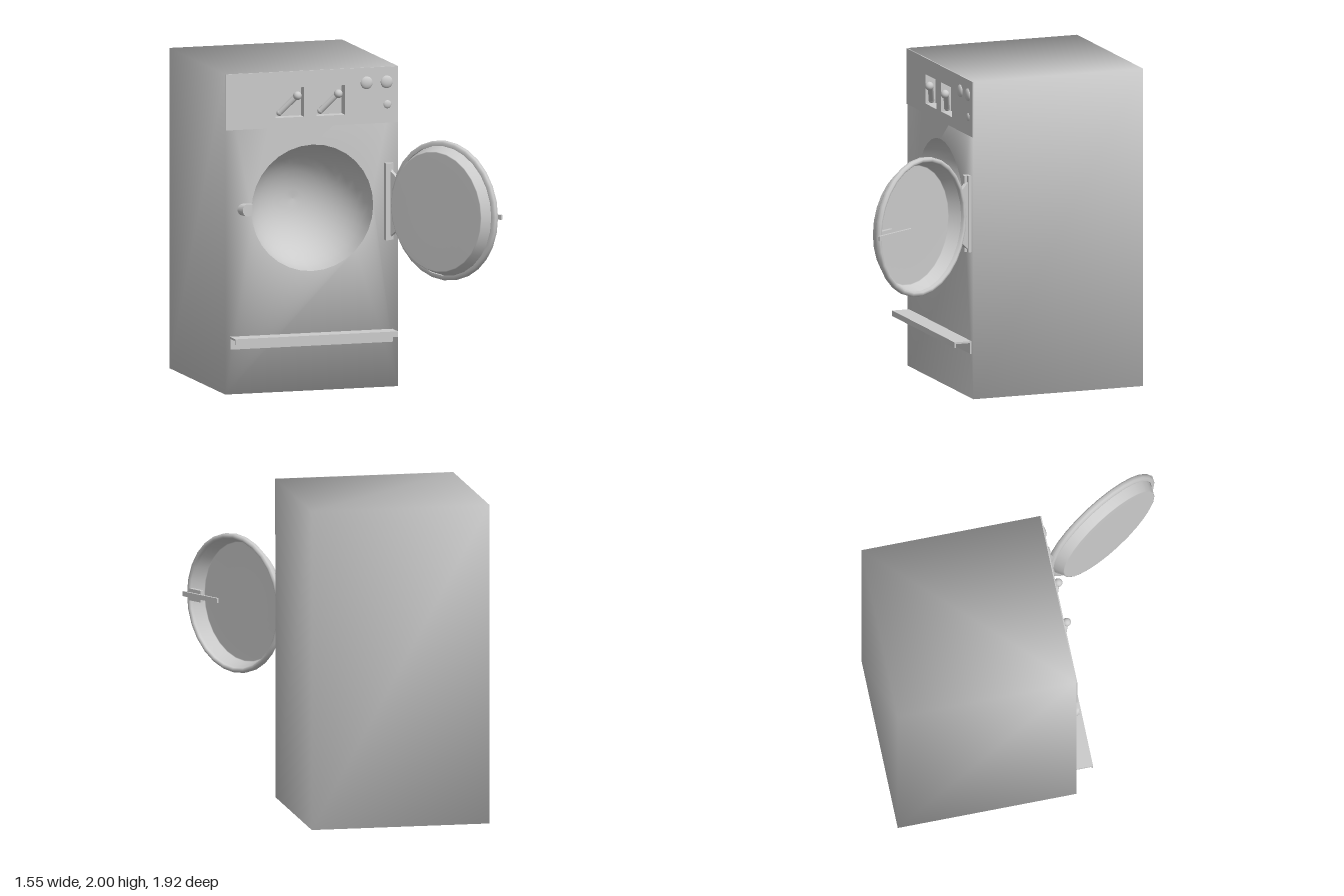
import * as THREE from 'three';
import { mergeGeometries, mergeVertices } from 'three/addons/utils/BufferGeometryUtils.js';

const grey = new THREE.MeshStandardMaterial({ color: 0xcccccc });
const greyDouble = new THREE.MeshStandardMaterial({ color: 0xcccccc, side: THREE.DoubleSide });

const X0 = -0.765, X1 = 0.355, Z0 = -0.965, Z1 = 0.16, H = 2;
const DRUM = { x: -0.2, y: 1.14, r: 0.395 };
const PITS = [-0.3475, -0.0825], PIT_Y = 1.805, PIT = 0.185;

function add(parent, name, geometry, x = 0, y = 0, z = 0, material = grey) {
  const mesh = new THREE.Mesh(geometry, material);
  mesh.name = name;
  mesh.position.set(x, y, z);
  parent.add(mesh);
  return mesh;
}

// Box given by its limits
function block(parent, name, x0, x1, y0, y1, z0, z1) {
  return add(parent, name, new THREE.BoxGeometry(x1 - x0, y1 - y0, z1 - z0),
    (x0 + x1) / 2, (y0 + y1) / 2, (z0 + z1) / 2);
}

function rectangle(x0, x1, y0, y1, Kind = THREE.Shape) {
  return new Kind([[x0, y0], [x1, y0], [x1, y1], [x0, y1]].map(p => new THREE.Vector2(...p)));
}

function pitHoles() {
  return PITS.map(x => rectangle(x - PIT / 2, x + PIT / 2, PIT_Y - PIT / 2, PIT_Y + PIT / 2, THREE.Path));
}

// Box without its +z face
function openBox(w, h, d) {
  const g = new THREE.BoxGeometry(w, h, d);
  const index = Array.from(g.index.array);
  index.splice(24, 6);
  g.setIndex(index);
  g.clearGroups();
  return g;
}

// Cylinder between two points
function rod(parent, name, a, b, r) {
  const from = new THREE.Vector3(...a), to = new THREE.Vector3(...b);
  const dir = to.clone().sub(from);
  const mesh = add(parent, name, new THREE.CylinderGeometry(r, r, dir.length(), 12));
  mesh.position.copy(from).add(to).multiplyScalar(0.5);
  mesh.quaternion.setFromUnitVectors(new THREE.Vector3(0, 1, 0), dir.normalize());
}

// Lathe turned so that its axis is z
function turned(points, segments) {
  return new THREE.LatheGeometry(points.map(p => new THREE.Vector2(...p)), segments).rotateX(Math.PI / 2);
}

// Cabinet with the drum opening and dial pits cut out, softly shaded across its corners
function cabinet() {
  const sides = openBox(X1 - X0, H, Z1 - Z0).translate((X0 + X1) / 2, H / 2, (Z0 + Z1) / 2);
  const shape = rectangle(X0, X1, 0, H);
  const opening = new THREE.Path().absarc(DRUM.x, DRUM.y, DRUM.r, 0, Math.PI * 2, true);
  shape.holes.push(opening, ...pitHoles());
  const front = new THREE.ShapeGeometry(shape, 16).translate(0, 0, Z1);
  for (const g of [sides, front]) {
    g.deleteAttribute('uv');
    g.deleteAttribute('normal');
  }
  const body = mergeVertices(mergeGeometries([sides, front]), 1e-4);
  body.computeVertexNormals();
  return body;
}

function buildControls(parent) {
  const panel = rectangle(X0, X1, 1.65, H);
  panel.holes.push(...pitHoles());
  add(parent, 'controlPanel', new THREE.ExtrudeGeometry(panel, { depth: 0.007, bevelEnabled: false }), 0, 0, Z1);

  // Sunken square dials, each with a slanted lever
  for (const x of PITS) {
    add(parent, 'dialPit', openBox(PIT, PIT, 0.06), x, PIT_Y, Z1 - 0.03, greyDouble);
    const low = [x - 0.06, PIT_Y - 0.065, 0.14], high = [x + 0.04, PIT_Y + 0.045, 0.185];
    rod(parent, 'lever', low, high, 0.018);
    add(parent, 'leverFoot', new THREE.SphereGeometry(0.019, 12, 8), ...low);
    add(parent, 'leverBall', new THREE.SphereGeometry(0.027, 16, 10), high[0], high[1], 0.193);
  }

  // Round buttons
  for (const [x, y, r] of [[0.15, 1.905, 0.04], [0.28, 1.905, 0.04], [0.285, 1.765, 0.026]]) {
    add(parent, 'button', new THREE.SphereGeometry(r, 20, 12), x, y, Z1 + 0.005).scale.z = 0.45;
  }
}

function buildDoor(parent) {
  // Local +z is the outside of the door, local +x points to the hinge
  const door = new THREE.Group();
  door.name = 'door';
  door.position.set(0.525, 1.15, 0.575);
  door.rotation.y = THREE.MathUtils.degToRad(120);
  parent.add(door);

  add(door, 'doorRim', turned([[0.405, -0.02], [0.425, -0.02], [0.435, -0.01], [0.435, 0.01],
    [0.425, 0.02], [0.412, 0.02], [0.405, 0.012], [0.405, -0.02]], 28), 0, 0, 0, greyDouble);
  add(door, 'doorDish', turned([[0.407, 0], [0.376, -0.078], [0.37, -0.08], [0.2, -0.08], [0, -0.08]], 28),
    0, 0, 0, greyDouble);

  // Bar handle on its foot
  block(door, 'handleFoot', -0.41, -0.3, -0.037, 0.037, -0.005, 0.02);
  block(door, 'handleBar', -0.45, -0.13, -0.015, 0.015, 0.02, 0.036);

  // Tapered hinge leaf
  const leaf = new THREE.Shape([[0.37, -0.14], [0.465, -0.22], [0.465, 0.22], [0.37, 0.14]]
    .map(p => new THREE.Vector2(...p)));
  leaf.holes.push(new THREE.Path().absarc(0, 0, 0.42, 0, Math.PI * 2, true));
  leaf.holes.length = 0;
  const arc = new THREE.Shape();
  arc.moveTo(0.465, -0.22).lineTo(0.465, 0.22).lineTo(0.39, 0.165);
  arc.absarc(0, 0, 0.423, 0.4, -0.4, true);
  add(door, 'hingeLeaf', new THREE.ExtrudeGeometry(arc, { depth: 0.024, bevelEnabled: false }), 0, 0, -0.012);
}

export function createModel() {
  const model = new THREE.Group();
  model.name = 'washingMachine';

  add(model, 'cabinet', cabinet());

  // Rounded drum recess
  const bowl = [];
  for (let i = 0; i <= 10; i++) {
    const a = (i / 10) * Math.PI / 2;
    bowl.push([DRUM.r * Math.cos(a), -0.4 * Math.sin(a)]);
  }
  add(model, 'drum', turned(bowl, 32), DRUM.x, DRUM.y, Z1, greyDouble);

  buildControls(model);
  buildDoor(model);

  // Hinge plate with two raised edges
  block(model, 'hingePlate', 0.265, 0.32, 0.92, 1.4, Z1, 0.18);
  block(model, 'hingeEdge', 0.265, 0.3, 0.92, 1.4, 0.18, 0.198);

  // Door catch, wedge-shaped with a rounded outer end
  const catchShape = new THREE.Shape();
  catchShape.moveTo(-0.6, -0.037).lineTo(-0.6, 0.037).lineTo(-0.648, 0.037);
  catchShape.absarc(-0.648, 0, 0.037, Math.PI / 2, Math.PI * 1.5, false);
  const catchGeo = new THREE.ExtrudeGeometry(catchShape, { depth: 0.04, bevelEnabled: false });
  const p = catchGeo.attributes.position;
  for (let i = 0; i < p.count; i++) {
    if (p.getZ(i) > 0.02) p.setX(i, -0.6 + (p.getX(i) + 0.6) * 0.75);
  }
  catchGeo.computeVertexNormals();
  add(model, 'doorCatch', catchGeo, 0, 1.15, Z1);

  // Ledge with a turned-down lip and a back plate
  block(model, 'ledge', -0.735, 0.32, 0.348, 0.36, Z1, 0.272);
  block(model, 'ledgeLip', -0.735, 0.32, 0.325, 0.348, 0.262, 0.272);
  block(model, 'ledgeBack', -0.735, 0.32, 0.28, 0.348, Z1, 0.168);

  return model;
}
